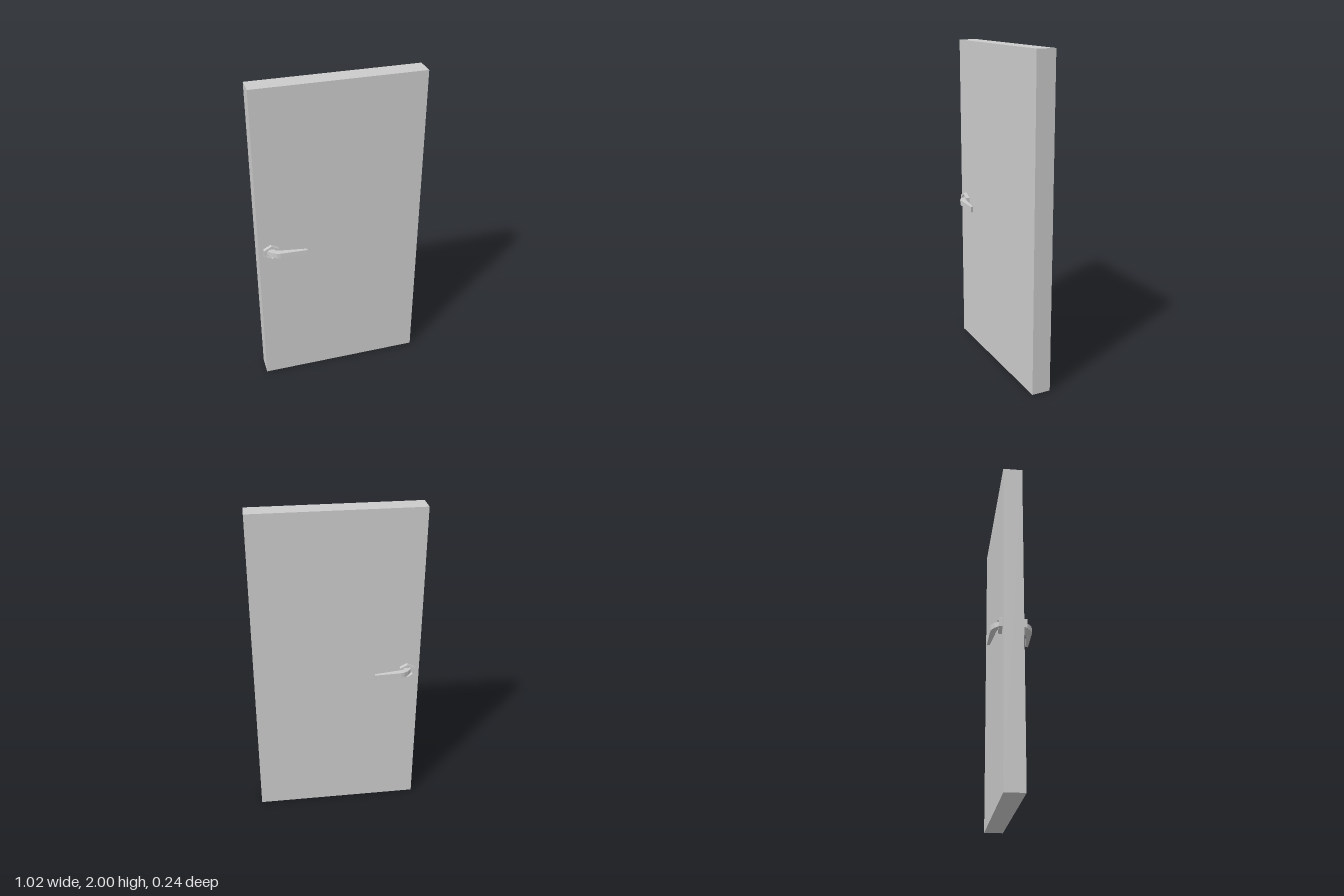
import * as THREE from 'three';

const material = new THREE.MeshStandardMaterial({ color: 0xcccccc, flatShading: true });
const FACE = 0.0585; // half thickness of the door
const HANDLE_X = -0.432, HANDLE_Y = 0.963;

function mesh(name, geometry) {
  const m = new THREE.Mesh(geometry, material);
  m.name = name;
  return m;
}

// Upright hexagon outline with a point at the top
function hexagon(radius) {
  return Array.from({ length: 6 }, (_, i) => {
    const a = Math.PI / 2 + (i * Math.PI) / 3;
    return new THREE.Vector2(radius * Math.cos(a) * 1.05, radius * Math.sin(a));
  });
}

// Hexagonal collar, open in the middle
function collarGeometry() {
  const shape = new THREE.Shape(hexagon(0.051));
  shape.holes.push(new THREE.Path(hexagon(0.037)));
  const g = new THREE.ExtrudeGeometry(shape, { depth: 0.022, bevelEnabled: false });
  return g.translate(HANDLE_X, HANDLE_Y, FACE);
}

// Lever lofted through four-cornered sections, from the door out to the tip
function leverGeometry() {
  // outer x, outer z, inner x, inner z, bottom y, top y
  const sections = [
    [-0.457, FACE, -0.412, FACE, 0.949, 0.978],
    [-0.447, 0.081, -0.407, 0.076, 0.949, 0.978],
    [-0.433, 0.098, -0.402, 0.081, 0.948, 0.979],
    [-0.407, 0.115, -0.393, 0.084, 0.946, 0.98],
    [-0.387, 0.119, -0.378, 0.086, 0.945, 0.98],
    [-0.22, 0.121, -0.225, 0.104, 0.939, 0.976],
  ];
  const rings = sections.map(([ox, oz, ix, iz, lo, hi]) => [
    [ox, hi, oz], [ox, lo, oz], [ix, lo, iz], [ix, hi, iz],
  ]);
  const positions = [];
  const quad = (a, b, c, d) => positions.push(...a, ...b, ...c, ...a, ...c, ...d);
  for (let i = 0; i < rings.length - 1; i++) {
    for (let k = 0; k < 4; k++) {
      const n = (k + 1) % 4;
      quad(rings[i][k], rings[i][n], rings[i + 1][n], rings[i + 1][k]);
    }
  }
  quad(...rings[rings.length - 1]);
  quad(...[...rings[0]].reverse());
  const g = new THREE.BufferGeometry();
  g.setAttribute('position', new THREE.Float32BufferAttribute(positions, 3));
  g.computeVertexNormals();
  return g;
}

export function createModel() {
  const model = new THREE.Group();
  model.name = 'door';

  // Plain slab
  const panel = mesh('doorPanel', new THREE.BoxGeometry(1.016, 2, FACE * 2));
  panel.position.y = 1;
  model.add(panel);

  // Matching handle on each face, mirrored through the door
  for (const [name, side] of [['frontHandle', 1], ['backHandle', -1]]) {
    const handle = new THREE.Group();
    handle.name = name;
    handle.add(mesh('collar', collarGeometry()), mesh('lever', leverGeometry()));
    handle.scale.z = side;
    model.add(handle);
  }
  return model;
}
